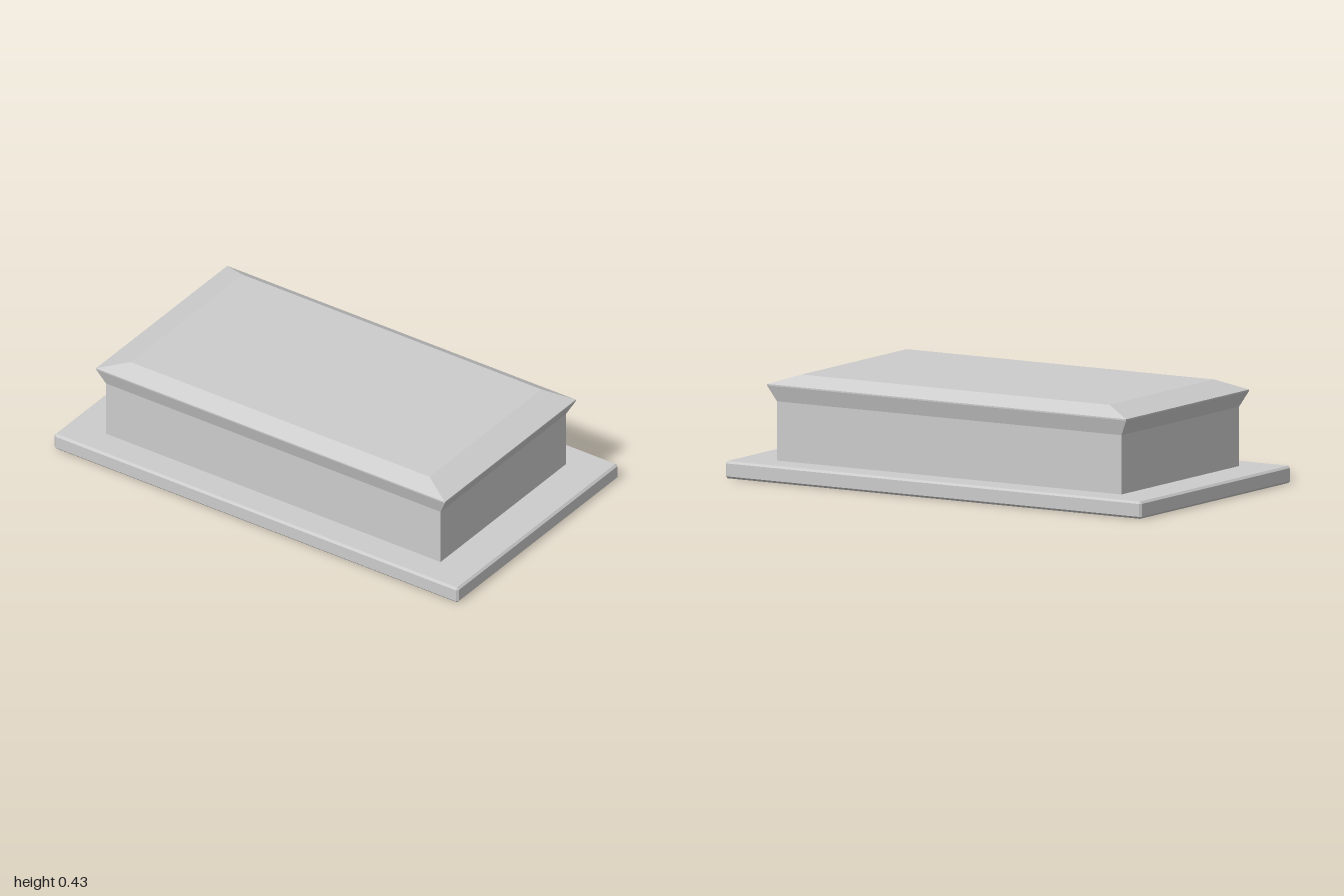
import * as THREE from 'three';

const material = new THREE.MeshStandardMaterial({ color: 0xcccccc, flatShading: true });

// Rectangular ring, counter-clockwise from above, with corners cut by c
function ring([y, hx, hz, c = 0]) {
  return [
    [hx, hz - c], [hx, c - hz], [hx - c, -hz], [c - hx, -hz],
    [-hx, c - hz], [-hx, hz - c], [c - hx, hz], [hx - c, hz],
  ].map(([x, z]) => new THREE.Vector3(x, y, z));
}

// Closed solid through a stack of rings [y, halfWidth, halfDepth, cornerCut]
function loft(name, sections) {
  const rings = sections.map(ring);
  const points = [];
  const tri = (a, b, c) => {
    // Uncut corners collapse some triangles; leave those out
    if (new THREE.Triangle(a, b, c).getArea() > 1e-9) points.push(a, b, c);
  };
  for (let k = 0; k + 1 < rings.length; k++) {
    const lo = rings[k], hi = rings[k + 1];
    for (let i = 0; i < 8; i++) {
      const j = (i + 1) % 8;
      tri(lo[i], lo[j], hi[j]);
      tri(lo[i], hi[j], hi[i]);
    }
  }
  const bottom = rings[0], top = rings[rings.length - 1];
  for (let i = 1; i < 7; i++) {
    tri(bottom[0], bottom[i + 1], bottom[i]);
    tri(top[0], top[i], top[i + 1]);
  }
  const geometry = new THREE.BufferGeometry().setFromPoints(points);
  geometry.computeVertexNormals();
  const mesh = new THREE.Mesh(geometry, material);
  mesh.name = name;
  return mesh;
}

export function createModel() {
  const group = new THREE.Group();
  group.name = 'plinth';

  // Base slab with chamfered edges
  const b = 0.009;
  group.add(loft('baseSlab', [
    [0, 0.568 - b, 1 - b],
    [b, 0.568, 1, b],
    [0.071 - b, 0.568, 1, b],
    [0.071, 0.568 - b, 1 - b],
  ]));

  // Straight body flaring into an overhanging lip and a bevelled top
  group.add(loft('bodyAndCap', [
    [0.07, 0.443, 0.828],
    [0.314, 0.443, 0.828],
    [0.379, 0.463, 0.863],
    [0.385, 0.463, 0.863],
    [0.425, 0.395, 0.74],
  ]));

  return group;
}
